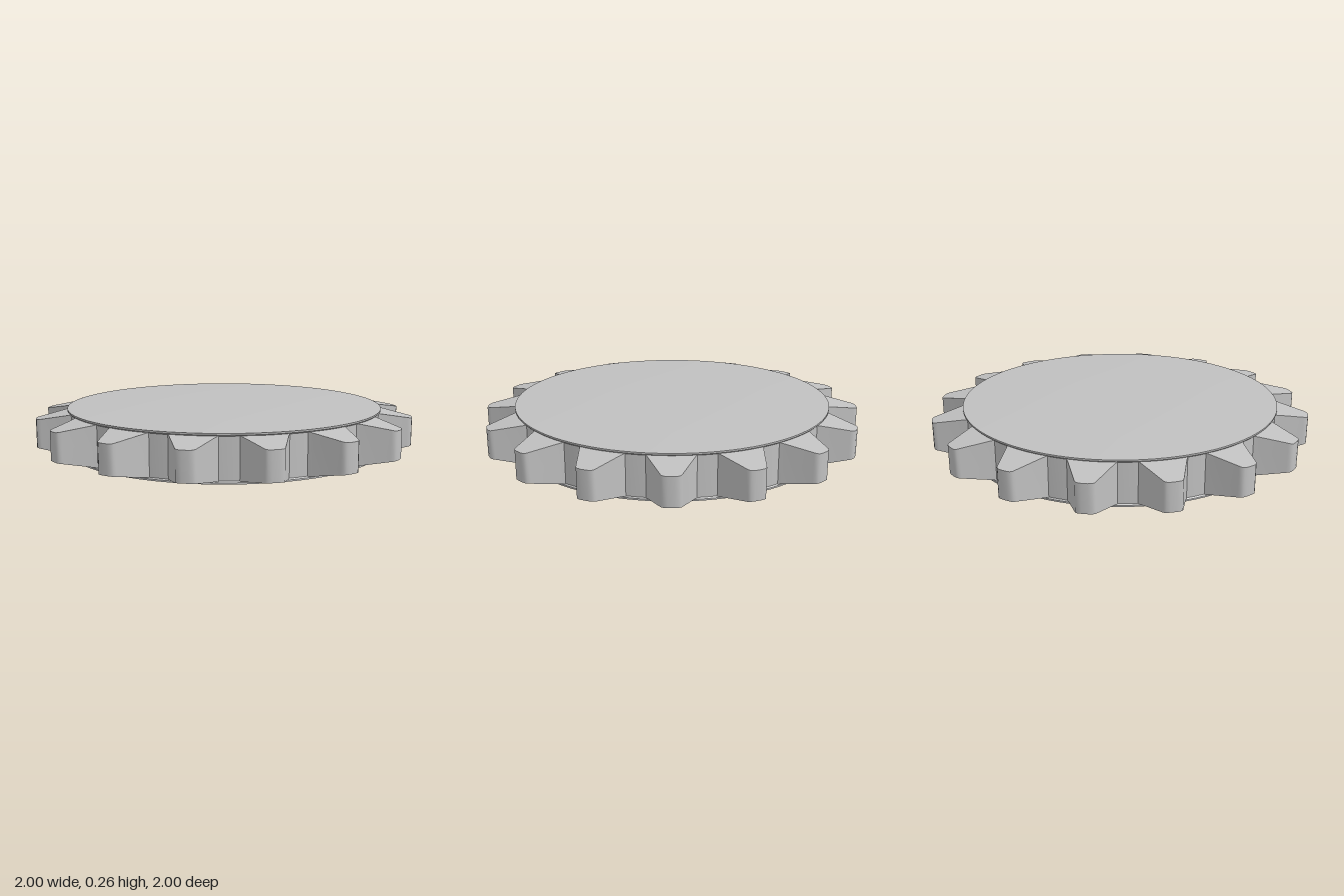
import * as THREE from 'three';
import { toCreasedNormals } from 'three/addons/utils/BufferGeometryUtils.js';

const HEIGHT = 0.265;
const TEETH = 16;

// Slightly domed disc: profile mirrored about mid height
function discGeometry() {
  const lower = [[0, 0], [0.3, 0.001], [0.6, 0.007], [0.838, 0.016], [0.838, 0.024], [0.832, 0.03]];
  const upper = lower.map(([r, y]) => [r, HEIGHT - y]).reverse();
  const profile = [...lower, ...upper].map(([r, y]) => new THREE.Vector2(r, y));
  return toCreasedNormals(new THREE.LatheGeometry(profile, 96), 0.5);
}

// Tapered tooth pointing to -z, thinner towards its tip
function toothGeometry() {
  const half = [[0.126, 0.8], [0.112, 0.832], [0.105, 0.845], [0.051, 0.975], [0.045, 0.989], [0.034, 0.997], [0.015, 1]];
  const outline = [...half, ...half.map(([x, r]) => [-x, r]).reverse()];
  const shape = new THREE.Shape(outline.map(([x, r]) => new THREE.Vector2(x, r)));
  const geometry = new THREE.ExtrudeGeometry(shape, { depth: HEIGHT, bevelEnabled: false });
  geometry.rotateX(-Math.PI / 2);
  const p = geometry.attributes.position;
  for (let i = 0; i < p.count; i++) {
    const inset = 0.03 + (-p.getZ(i) - 0.838) * 0.18;
    p.setY(i, p.getY(i) > HEIGHT / 2 ? HEIGHT - inset : inset);
  }
  return toCreasedNormals(geometry, 0.6);
}

export function createModel() {
  const gear = new THREE.Group();
  gear.name = 'gear';
  const metal = new THREE.MeshStandardMaterial({ color: 0xc0c0c0 });
  metal.name = 'light grey metal';

  const disc = new THREE.Mesh(discGeometry(), metal);
  disc.name = 'disc';
  gear.add(disc);

  // Ring of teeth
  const tooth = toothGeometry();
  for (let i = 0; i < TEETH; i++) {
    const mesh = new THREE.Mesh(tooth, metal);
    mesh.name = `tooth${i + 1}`;
    mesh.rotation.y = (i / TEETH) * Math.PI * 2;
    gear.add(mesh);
  }
  return gear;
}
